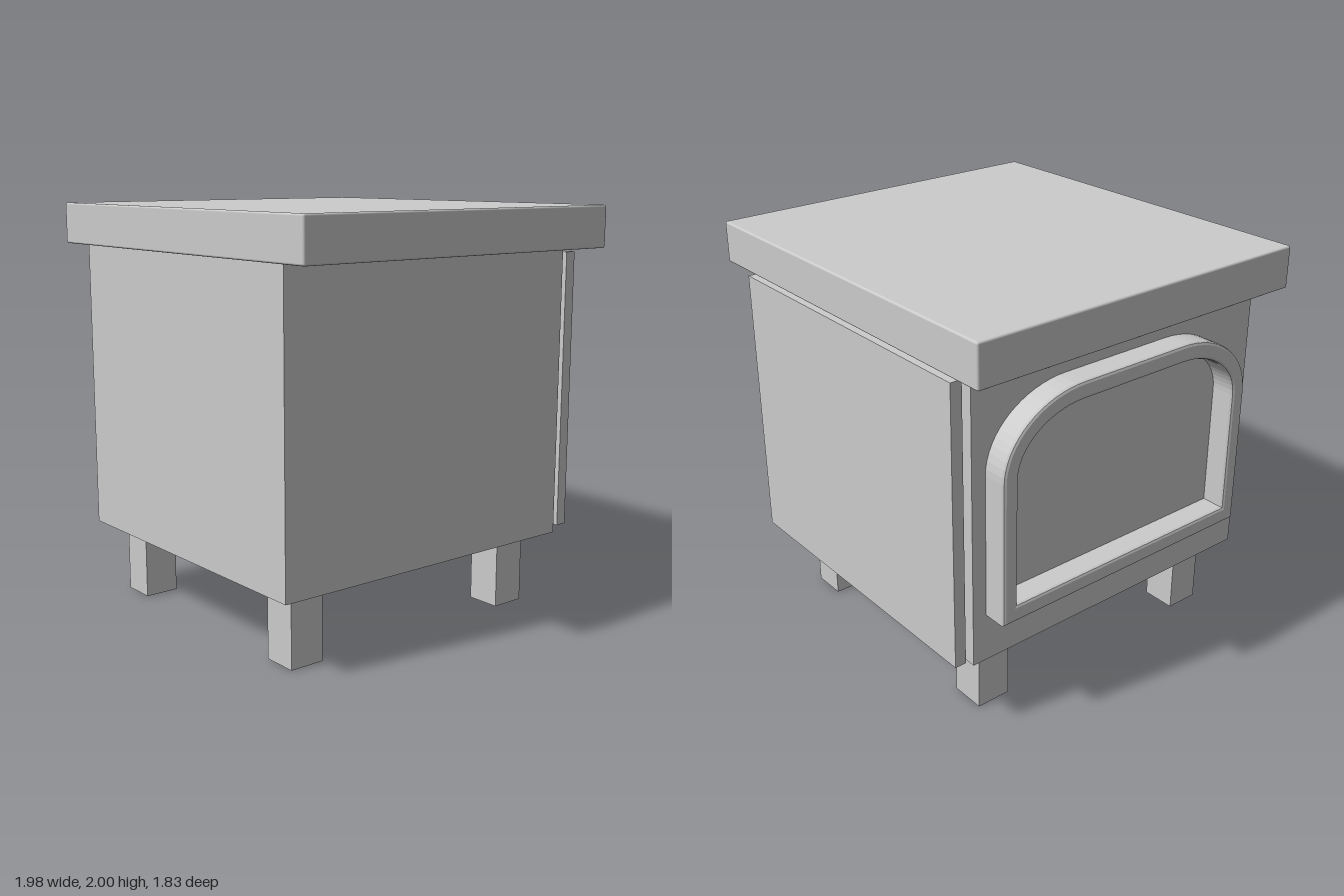
import * as THREE from 'three';
import { RoundedBoxGeometry } from 'three/addons/geometries/RoundedBoxGeometry.js';

const material = new THREE.MeshStandardMaterial({ color: 0xcccccc });

function add(group, name, geometry, x = 0, y = 0, z = 0) {
  const mesh = new THREE.Mesh(geometry, material);
  mesh.name = name;
  mesh.position.set(x, y, z);
  group.add(mesh);
  return mesh;
}

// Box given by its lower and upper corners
function addBox(group, name, [x0, y0, z0], [x1, y1, z1]) {
  return add(group, name, new THREE.BoxGeometry(x1 - x0, y1 - y0, z1 - z0),
    (x0 + x1) / 2, (y0 + y1) / 2, (z0 + z1) / 2);
}

// Closed arch: straight sides, elliptical shoulders and a flat top
function traceArch(path, halfWidth, bottom, spring, top, flat) {
  path.moveTo(-halfWidth, bottom);
  path.lineTo(halfWidth, bottom);
  path.lineTo(halfWidth, spring);
  path.absellipse(flat, spring, halfWidth - flat, top - spring, 0, Math.PI / 2, false, 0);
  path.absellipse(-flat, spring, halfWidth - flat, top - spring, Math.PI / 2, Math.PI, false, 0);
  path.closePath();
  return path;
}

export function createModel() {
  const model = new THREE.Group();
  model.name = 'cabinet';

  // Main box and overhanging top slab
  addBox(model, 'body', [-0.813, 0.36, -0.813], [0.813, 1.8, 0.88]);
  add(model, 'lid', new RoundedBoxGeometry(1.976, 0.204, 1.826, 2, 0.01), 0, 1.898, 0);

  // Four square legs
  for (const x of [-0.615, 0.615]) {
    for (const z of [-0.61, 0.68]) {
      addBox(model, 'leg', [x - 0.0875, 0, z - 0.0875], [x + 0.0875, 0.36, z + 0.0875]);
    }
  }

  // Back panel on a smaller spacer
  addBox(model, 'backSpacer', [-0.73, 0.46, -0.85], [0.73, 1.695, -0.81]);
  addBox(model, 'backPanel', [-0.805, 0.388, -0.908], [0.805, 1.77, -0.85]);

  // Arched frame on the right side
  const bevel = 0.015;
  const outline = traceArch(new THREE.Shape(), 0.74 - bevel, 0.6 + bevel, 1.3, 1.65 - bevel, 0.3);
  outline.holes.push(traceArch(new THREE.Path(), 0.66 + bevel, 0.685 - bevel, 1.3, 1.565 + bevel, 0.3));
  const frame = add(model, 'archFrame', new THREE.ExtrudeGeometry(outline, {
    depth: 0.125 - bevel,
    bevelSize: bevel,
    bevelThickness: bevel,
    bevelSegments: 2,
    curveSegments: 8,
  }), -0.81, 0, 0);
  frame.rotation.y = -Math.PI / 2;

  return model;
}
